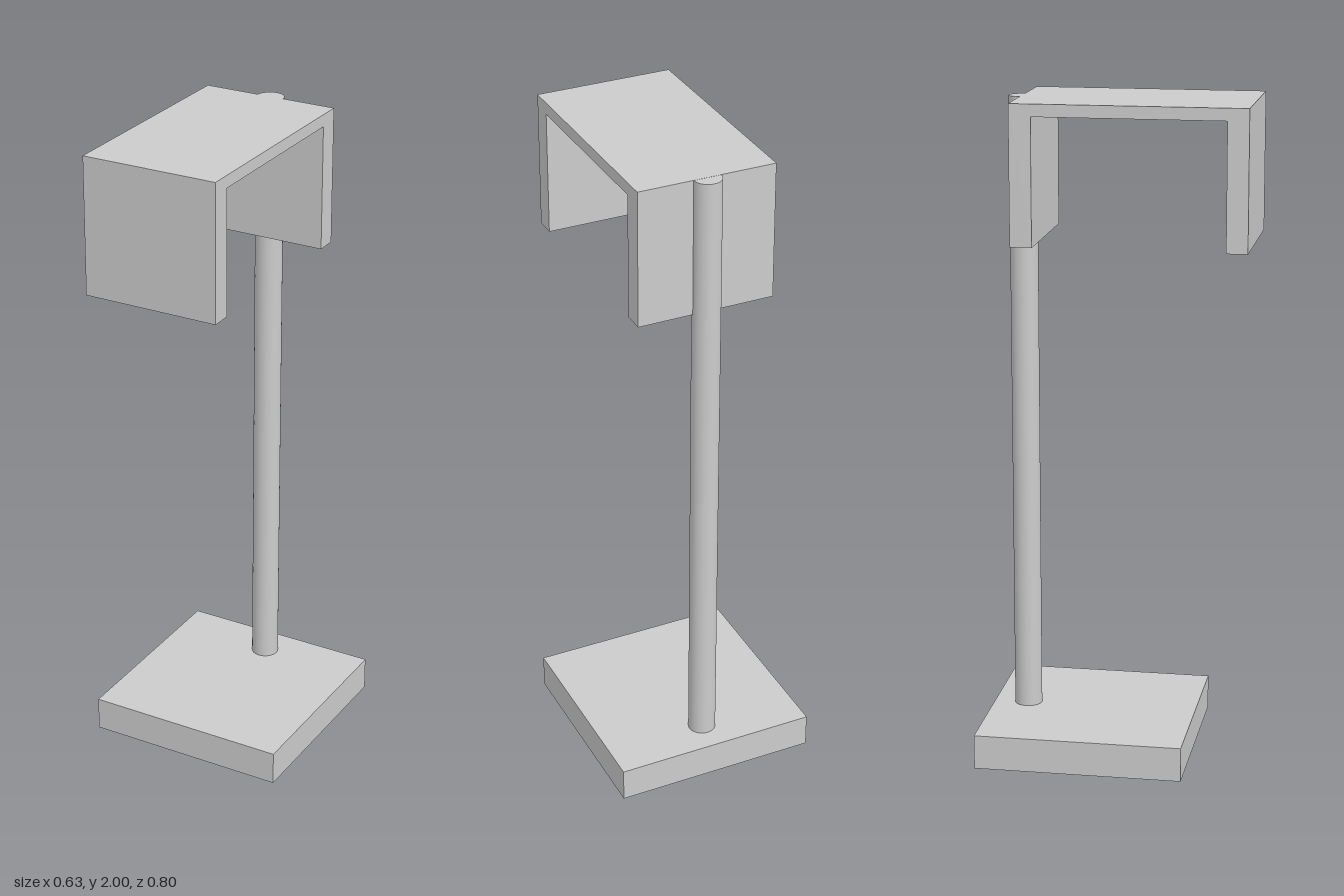
import * as THREE from 'three';

export function createModel() {
  const group = new THREE.Group();
  const material = new THREE.MeshStandardMaterial({ color: 0xcccccc });
  const add = (name, geometry, x, y, z) => {
    const mesh = new THREE.Mesh(geometry, material);
    mesh.name = name;
    mesh.position.set(x, y, z);
    group.add(mesh);
    return mesh;
  };

  // Square base slab
  add('base', new THREE.BoxGeometry(0.63, 0.105, 0.63), 0, 0.0525, -0.085);

  // Round pole, half sunk into the back wall of the hood
  const bottom = 0.105, top = 1.9995;
  add('pole', new THREE.CylinderGeometry(0.042, 0.042, top - bottom, 48), 0, (top + bottom) / 2, -0.295);

  // Hood: an upside-down U profile (z, y) extruded across the width
  const profile = new THREE.Shape([
    [-0.295, 1.583], [-0.23, 1.583], [-0.23, 1.963], [0.337, 1.963],
    [0.337, 1.583], [0.4, 1.583], [0.4, 2], [-0.295, 2],
  ].map(([z, y]) => new THREE.Vector2(z, y)));
  const hood = new THREE.ExtrudeGeometry(profile, { depth: 0.42, bevelEnabled: false });
  hood.rotateY(-Math.PI / 2);
  add('hood', hood, 0.21, 0, 0);

  return group;
}
